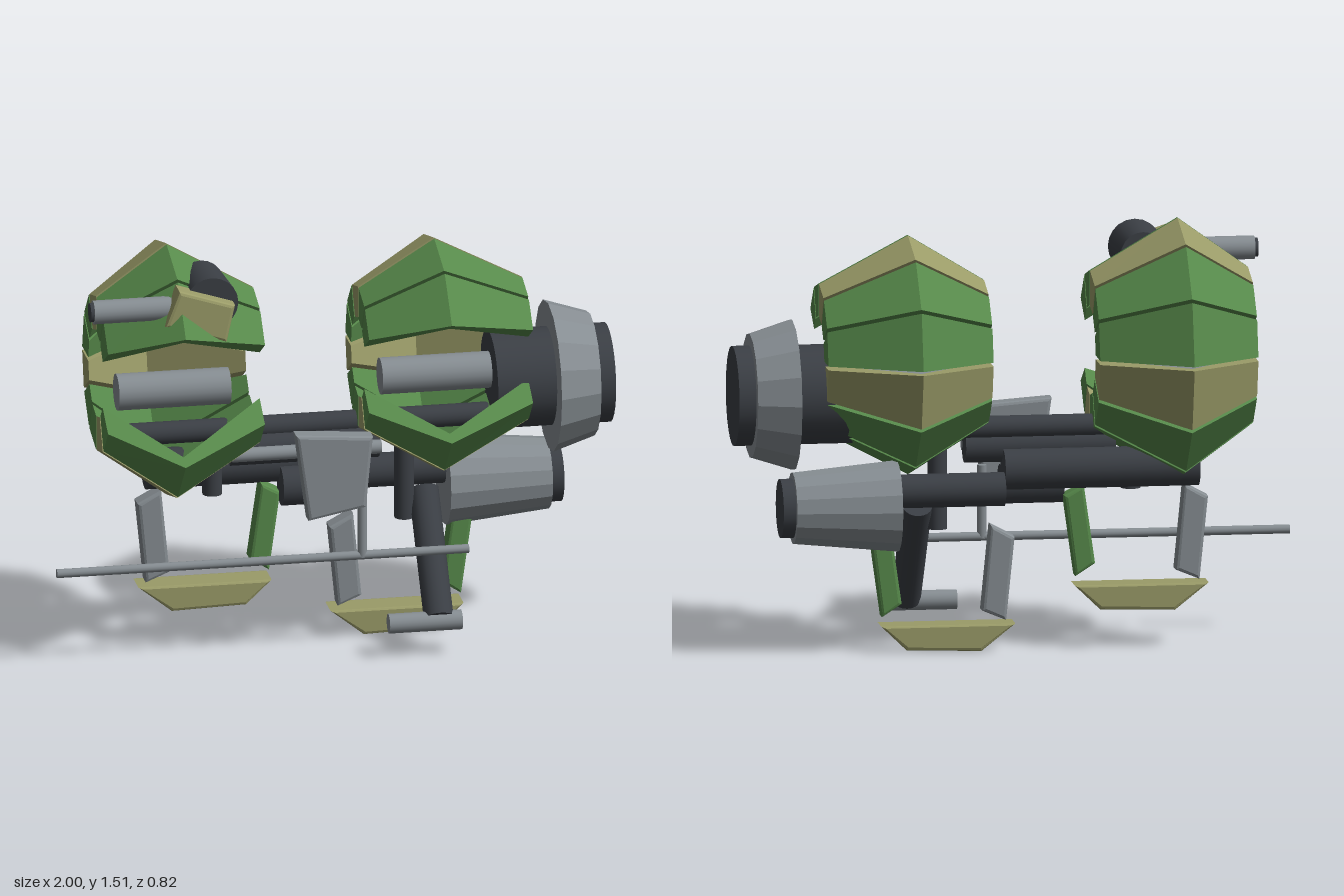
import * as THREE from 'three';

const paint = (name, color, flatShading = false) => {
  const m = new THREE.MeshStandardMaterial({ color, flatShading });
  m.name = name;
  return m;
};

export function createModel() {
  const model = new THREE.Group();
  const green = paint('armourGreen', 0x578a4b, true);
  const olive = paint('armourOlive', 0x9a9b68, true);
  const grey = paint('metalGrey', 0x868d92);
  const dark = paint('frameDark', 0x3b3f45);

  const add = (name, geometry, material, parent = model) => {
    const mesh = new THREE.Mesh(geometry, material);
    mesh.name = name;
    parent.add(mesh);
    return mesh;
  };

  // Cylinder or cone running from point a (radius ra) to point b (radius rb)
  const rod = (name, material, a, b, ra, rb = ra, sides = 20, faceted = false) => {
    const A = new THREE.Vector3(...a), B = new THREE.Vector3(...b);
    const dir = B.clone().sub(A);
    let g = new THREE.CylinderGeometry(rb, ra, dir.length(), sides);
    if (faceted) {
      g = g.toNonIndexed();
      g.computeVertexNormals();
    }
    const mesh = add(name, g, material);
    mesh.position.copy(A).add(B).multiplyScalar(0.5);
    mesh.quaternion.setFromUnitVectors(new THREE.Vector3(0, 1, 0), dir.normalize());
    return mesh;
  };
  const rodX = (name, material, x0, x1, y, z, r0, r1, sides, faceted) =>
    rod(name, material, [x0, y, z], [x1, y, z], r0, r1, sides, faceted);

  // Outline in the front plane, extruded from z0 to z1 with a small bevel
  const plate = (name, material, points, z0, z1, bevel = 0.012) => {
    const shape = new THREE.Shape(points.map(([x, y]) => new THREE.Vector2(x, y)));
    const g = new THREE.ExtrudeGeometry(shape, {
      depth: z1 - z0 - 2 * bevel, bevelEnabled: true, bevelThickness: bevel,
      bevelSize: bevel, bevelOffset: -bevel, bevelSegments: 2,
    });
    g.translate(0, 0, z0 + bevel);
    return add(name, g, material);
  };

  // One armour panel: ridged cross-section swept between two angles about the x axis
  const panelGeometry = (section, t0, t1, gap, ky, kz) => {
    const ring = (t, shift) => section.map(([x, r]) => [
      x,
      ky * Math.sin(t) * r + shift * Math.cos(t),
      kz * Math.cos(t) * r - shift * Math.sin(t),
    ]);
    const P = ring(t0, gap), Q = ring(t1, -gap), out = [];
    const quad = (a, b, c, d) => out.push(...a, ...b, ...c, ...a, ...c, ...d);
    for (let i = 0; i < 6; i++) {
      const j = (i + 1) % 6;
      quad(P[j], P[i], Q[i], Q[j]);
    }
    quad(P[0], P[1], P[4], P[5]);
    quad(P[1], P[2], P[3], P[4]);
    quad(Q[5], Q[4], Q[1], Q[0]);
    quad(Q[4], Q[3], Q[2], Q[1]);
    const g = new THREE.BufferGeometry();
    g.setAttribute('position', new THREE.Float32BufferAttribute(out, 3));
    g.computeVertexNormals();
    return g;
  };

  // Armoured shells: ten panels each, open to the front
  const shell = (name, x, halfWidth, ky, kz) => {
    const group = new THREE.Group();
    group.name = name;
    group.position.set(x, 1.046, 0.033);
    const w = halfWidth;
    const section = [[-w, 0.34], [0, 0.89], [w, 0.34], [w, 0.61], [0, 1], [-w, 0.61]];
    for (let i = 0; i < 10; i++) {
      const t = (30 + 30 * i) * Math.PI / 180;
      add('armourPanel', panelGeometry(section, t, t + Math.PI / 6, 0.007, ky, kz),
        i % 3 === 2 ? olive : green, group);
    }
    model.add(group);
  };
  shell('rightShell', -0.55 - 0.0, 0.28, 0.465, 0.442);
  shell('leftShell', 0.3975, 0.2925, 0.425, 0.408);
  // Ridges sit slightly off the middle of each shell
  for (const [name, ridge] of [['rightShell', -0.03], ['leftShell', -0.0225]]) {
    for (const panel of model.getObjectByName(name).children) {
      const p = panel.geometry.attributes.position;
      for (let i = 0; i < p.count; i++) if (p.getX(i) === 0) p.setX(i, ridge);
      panel.geometry.computeVertexNormals();
    }
  }

  // Cores inside the shells
  rodX('rightCore', grey, -0.75, -0.35, 0.955, -0.01, 0.065);
  rodX('leftCore', grey, 0.19, 0.6, 0.955, -0.01, 0.065);

  // Upper thruster
  rodX('upperThrusterNeck', dark, 0.58, 0.8, 0.92, -0.005, 0.175, 0.175, 28);
  rodX('upperThrusterRing', grey, 0.79, 0.94, 0.92, -0.005, 0.268, 0.22, 16, true);
  rodX('upperThrusterCap', dark, 0.93, 1.0, 0.92, -0.005, 0.176, 0.176, 28);

  // Lower thruster
  rodX('lowerThrusterCone', grey, 0.43, 0.8, 0.53, -0.09, 0.163, 0.127, 16, true);
  rodX('lowerThrusterCap', dark, 0.79, 0.845, 0.53, -0.09, 0.104, 0.104, 28);

  // Frame tubes
  rodX('upperBeam', dark, -0.79, 0.65, 0.79, -0.02, 0.04);
  rodX('crossTube', dark, -0.35, 0.18, 0.72, 0.0, 0.058);
  rodX('fuelLine', grey, -0.35, 0.18, 0.72, 0.066, 0.025);
  rodX('lowerBeam', dark, -0.64, 0.05, 0.645, -0.06, 0.072);
  rodX('lowerBeamEnd', dark, 0.05, 0.45, 0.58, -0.085, 0.06);
  rodX('beamCollar', dark, -0.17, 0.05, 0.58, 0.02, 0.07);
  rod('rightPost', dark, [-0.41, 0.56, 0.0], [-0.41, 0.74, 0.0], 0.035);
  rod('leftPost', dark, [0.275, 0.43, 0.0], [0.275, 0.76, 0.0], 0.035);

  // Control plate and long lance
  plate('controlPlate', grey, [[-0.115, 0.53], [0.09, 0.57], [0.115, 0.83], [-0.16, 0.85]], 0.2, 0.275);
  rodX('lance', grey, -1.0, 0.47, 0.365, 0.19, 0.016, 0.016, 12);
  rod('lanceHanger', grey, [0.09, 0.36, 0.19], [0.09, 0.62, 0.19], 0.017, 0.017, 12);

  // Slanted leg with foot bar
  rod('leg', dark, [0.35, 0.52, -0.03], [0.35, 0.14, 0.26], 0.053);
  rodX('legFoot', grey, 0.17, 0.43, 0.13, 0.265, 0.035);

  // Hanging skid sets: two fins and a base plate
  for (const [dx, dy] of [[0, 0], [0.685, -0.13]]) {
    const at = (pts) => pts.map(([x, y]) => [x + dx, y + dy]);
    plate('outerFin', grey, at([[-0.645, 0.24], [-0.56, 0.275], [-0.59, 0.58], [-0.675, 0.535]]), -0.078, 0.0);
    plate('innerFin', green, at([[-0.275, 0.305], [-0.205, 0.26], [-0.165, 0.548], [-0.235, 0.585]]), -0.078, 0.0);
    plate('skid', olive, at([[-0.555, 0.135], [-0.29, 0.143], [-0.2, 0.23], [-0.675, 0.23]]), -0.097, 0.02);
  }

  // Side cannon on the right shell
  rod('cannonDrum', dark, [-0.465, 1.375, 0.07], [-0.465, 1.37, 0.29], 0.08, 0.095);
  plate('cannonMount', olive, [[-0.64, 1.31], [-0.42, 1.24], [-0.39, 1.375], [-0.59, 1.44]], 0.255, 0.345);
  rodX('cannonBarrel', grey, -0.885, -0.58, 1.357, 0.27, 0.042);
  rodX('cannonMuzzle', dark, -0.897, -0.88, 1.357, 0.27, 0.034);

  return model;
}
